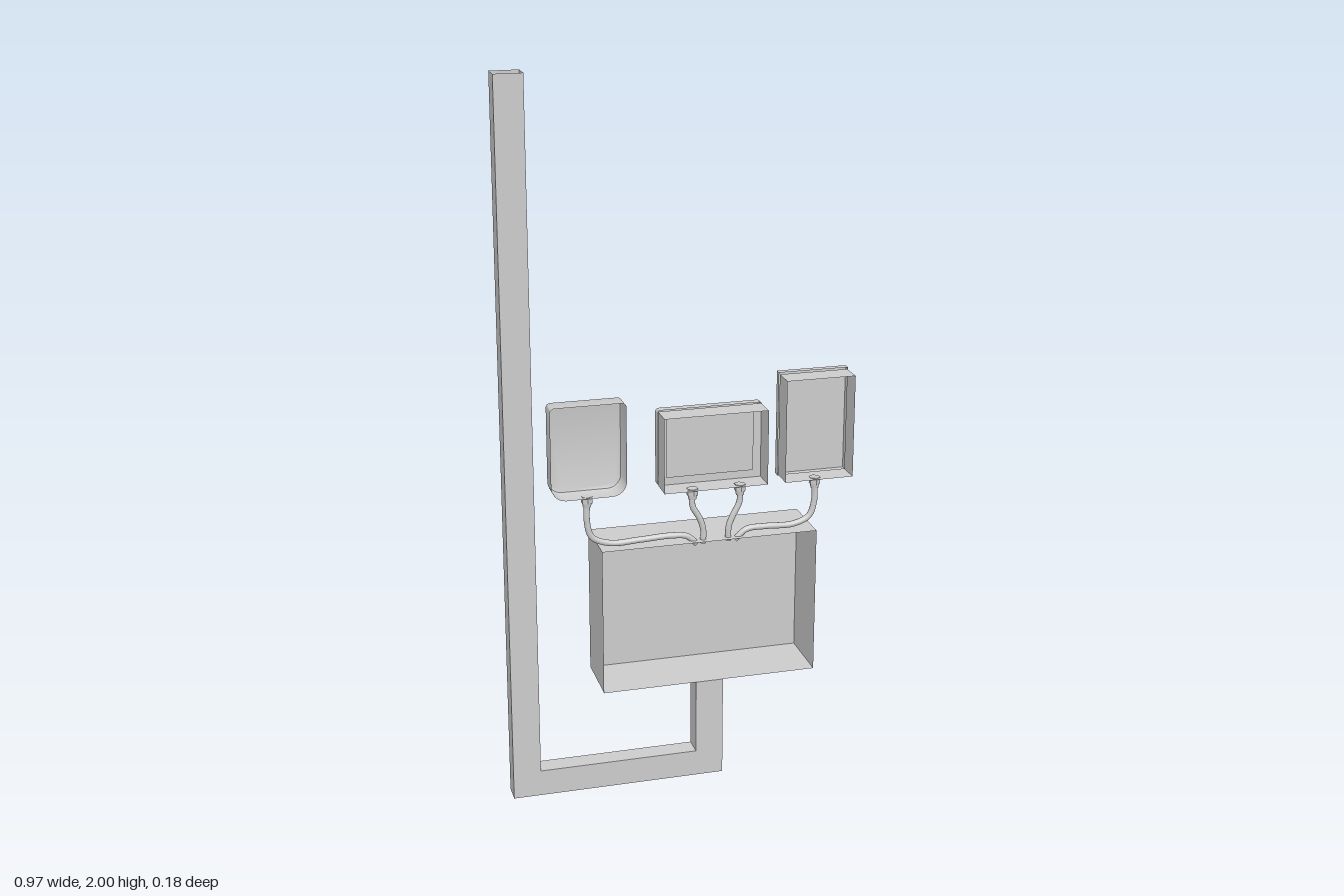
import * as THREE from 'three';
import { toCreasedNormals } from 'three/addons/utils/BufferGeometryUtils.js';

const material = new THREE.MeshStandardMaterial({ color: 0xcccccc, side: THREE.DoubleSide });
const FRONT = 0.087; // wall plane shared by every enclosure
const CABLE_Z = 0.065;

// Counter-clockwise rectangle with rounded lower and upper corners
function outline(x0, x1, y0, y1, rLow = 0, rTop = 0) {
  const corners = [[x0, y0, rLow, 1, 1, Math.PI], [x1, y0, rLow, -1, 1, 1.5 * Math.PI],
    [x1, y1, rTop, -1, -1, 0], [x0, y1, rTop, 1, -1, 0.5 * Math.PI]];
  const pts = [];
  for (const [x, y, r, sx, sy, start] of corners) {
    const n = r > 0 ? 6 : 0;
    for (let i = 0; i <= n; i++) {
      const a = start + (n ? (i / n) * Math.PI / 2 : 0);
      pts.push(new THREE.Vector2(x + sx * r + r * Math.cos(a), y + sy * r + r * Math.sin(a)));
    }
  }
  return pts;
}

// Thin sheet shell lofted from back to front; sections are [points, z]
function shell(sections, { back = true, front = false, skipEdges = [], hole = null } = {}) {
  const pos = [];
  const tri = (...v) => v.forEach(([p, z]) => pos.push(p.x, p.y, z));
  const cap = ([pts, z], flip) => {
    const inner = hole ? [hole] : [];
    const all = pts.concat(...inner);
    for (const [a, b, c] of THREE.ShapeUtils.triangulateShape(pts, inner)) {
      const [j, k] = flip ? [c, b] : [b, c];
      tri([all[a], z], [all[j], z], [all[k], z]);
    }
  };
  for (let s = 0; s + 1 < sections.length; s++) {
    const [a, z0] = sections[s], [b, z1] = sections[s + 1];
    a.forEach((p, i) => {
      if (skipEdges.includes(i)) return;
      const j = (i + 1) % a.length;
      tri([p, z0], [a[j], z0], [b[j], z1]);
      tri([p, z0], [b[j], z1], [b[i], z1]);
    });
  }
  if (back) cap(sections[0], true);
  if (front) cap(sections[sections.length - 1], false);
  const geo = new THREE.BufferGeometry();
  geo.setAttribute('position', new THREE.Float32BufferAttribute(pos, 3));
  return toCreasedNormals(geo, 0.6);
}

export function createModel() {
  const model = new THREE.Group();
  const add = (name, geo, x = 0, y = 0, z = 0) => {
    geo.computeBoundingBox();
    const mesh = new THREE.Mesh(geo, material);
    mesh.name = name;
    mesh.position.set(x, y, z);
    model.add(mesh);
    return mesh;
  };

  // Hollow U-shaped duct, open at both upper ends
  const duct = [[-0.487, 0], [0.115, 0], [0.115, 0.29], [0.037, 0.29], [0.037, 0.075],
    [-0.41, 0.075], [-0.41, 2], [-0.487, 2]].map(([x, y]) => new THREE.Vector2(x, y));
  add('duct', shell([[duct, 0.03], [duct, FRONT]], { front: true, skipEdges: [2, 6] }));

  // Large cabinet, open towards the wall
  const cabinet = outline(-0.227, 0.382, 0.29, 0.71);
  add('cabinet', shell([[cabinet, -0.086], [cabinet, FRONT]]));

  // Small angled latch on the cabinet door
  add('latchBar', new THREE.BoxGeometry(0.027, 0.006, 0.005), 0.348, 0.488, -0.0885);
  add('latchArm', new THREE.BoxGeometry(0.006, 0.026, 0.005), 0.359, 0.498, -0.0885);

  // Rounded box with softened rear edge
  const rounded = (d) => outline(-0.363 + d, -0.157 - d, 0.867 + d, 1.127 - d, 0.04 - d, 0.012 - d);
  add('roundedBox', shell([[rounded(0.008), 0.025], [rounded(0.003), 0.027],
    [rounded(0), 0.034], [rounded(0), FRONT]]));

  // Middle box: body with framed opening and a rounded lid behind it
  const middle = outline(-0.053, 0.238, 0.86, 1.072);
  add('middleBody', shell([[middle, 0.018], [middle, FRONT]],
    { hole: outline(-0.03, 0.215, 0.882, 1.05) }));
  const lid = (d) => outline(-0.055 + d, 0.241 - d, 0.858 + d, 1.075 - d, 0.009 - d, 0.009 - d);
  add('middleLid', shell([[lid(0.004), -0.01], [lid(0), -0.006], [lid(0), 0.018]]));

  // Right box: body with a slightly larger lid
  const right = outline(0.289, 0.483, 0.86, 1.15);
  add('rightBody', shell([[right, 0.02], [right, FRONT]], { back: false }));
  const rightLid = outline(0.287, 0.485, 0.858, 1.155);
  add('rightLid', shell([[rightLid, 0], [rightLid, 0.02]]));

  // Cables with glands under each small box
  const cables = [
    [[-0.263, 0.85], [-0.263, 0.79], [-0.25, 0.748], [-0.2, 0.726], [-0.12, 0.727], [-0.03, 0.73], [0.015, 0.724], [0.042, 0.7]],
    [[0.03, 0.845], [0.031, 0.81], [0.052, 0.77], [0.061, 0.74], [0.061, 0.7]],
    [[0.165, 0.845], [0.164, 0.81], [0.145, 0.77], [0.134, 0.74], [0.133, 0.7]],
    [[0.38, 0.845], [0.38, 0.79], [0.365, 0.748], [0.32, 0.729], [0.24, 0.73], [0.185, 0.727], [0.152, 0.7]],
  ];
  cables.forEach((path, i) => {
    const curve = new THREE.CatmullRomCurve3(path.map(([x, y]) => new THREE.Vector3(x, y, CABLE_Z)));
    add('cable' + (i + 1), new THREE.TubeGeometry(curve, 48, 0.0085, 12));
    const top = i === 0 ? 0.868 : 0.862;
    add('glandNut' + (i + 1), toCreasedNormals(new THREE.CylinderGeometry(0.016, 0.016, 0.019, 6), 0.5),
      path[0][0], top - 0.0095, CABLE_Z);
    add('glandCollar' + (i + 1), new THREE.CylinderGeometry(0.013, 0.011, 0.012, 16),
      path[0][0], top - 0.025, CABLE_Z);
  });
  return model;
}
